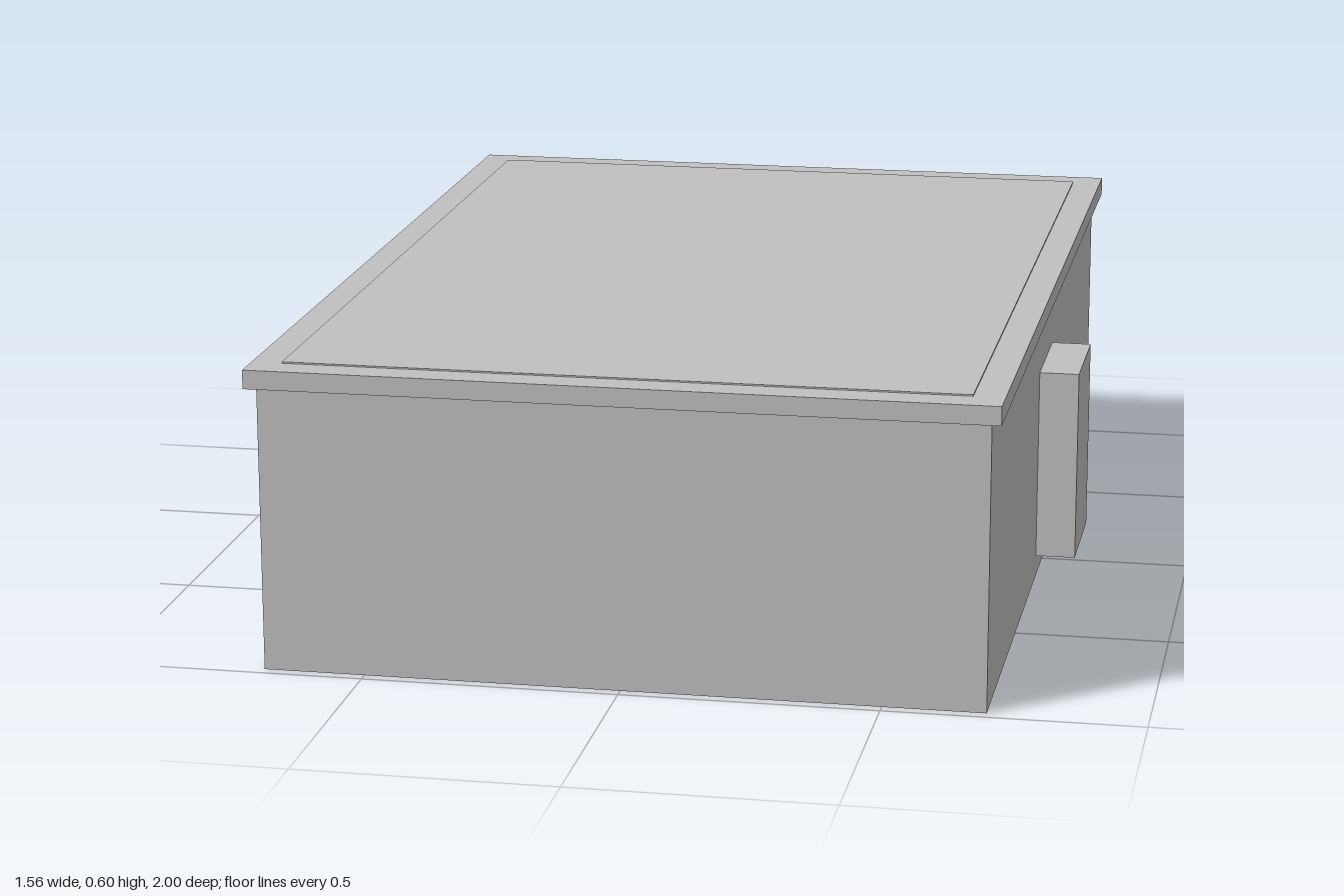
import * as THREE from 'three';

export function createModel() {
  const model = new THREE.Group();
  const lightGrey = new THREE.MeshStandardMaterial({ color: 0xc0c0c0 });

  // Box given by its size, its base height and its x position
  function addBox(name, width, height, depth, base, x = 0) {
    const mesh = new THREE.Mesh(new THREE.BoxGeometry(width, height, depth), lightGrey);
    mesh.name = name;
    mesh.position.set(x, base + height / 2, 0);
    model.add(mesh);
  }

  // Main body, overhanging lid and the thin raised panel on the lid
  addBox('body', 1.396, 0.563, 1.956, 0);
  addBox('lid', 1.436, 0.037, 2, 0.563);
  addBox('lidPanel', 1.316, 0.003, 1.876, 0.6);

  // Upright block on each side
  for (const [name, side] of [['leftHandle', 1], ['rightHandle', -1]]) {
    addBox(name, 0.08, 0.39, 0.25, 0.044, side * 0.738);
  }
  return model;
}
